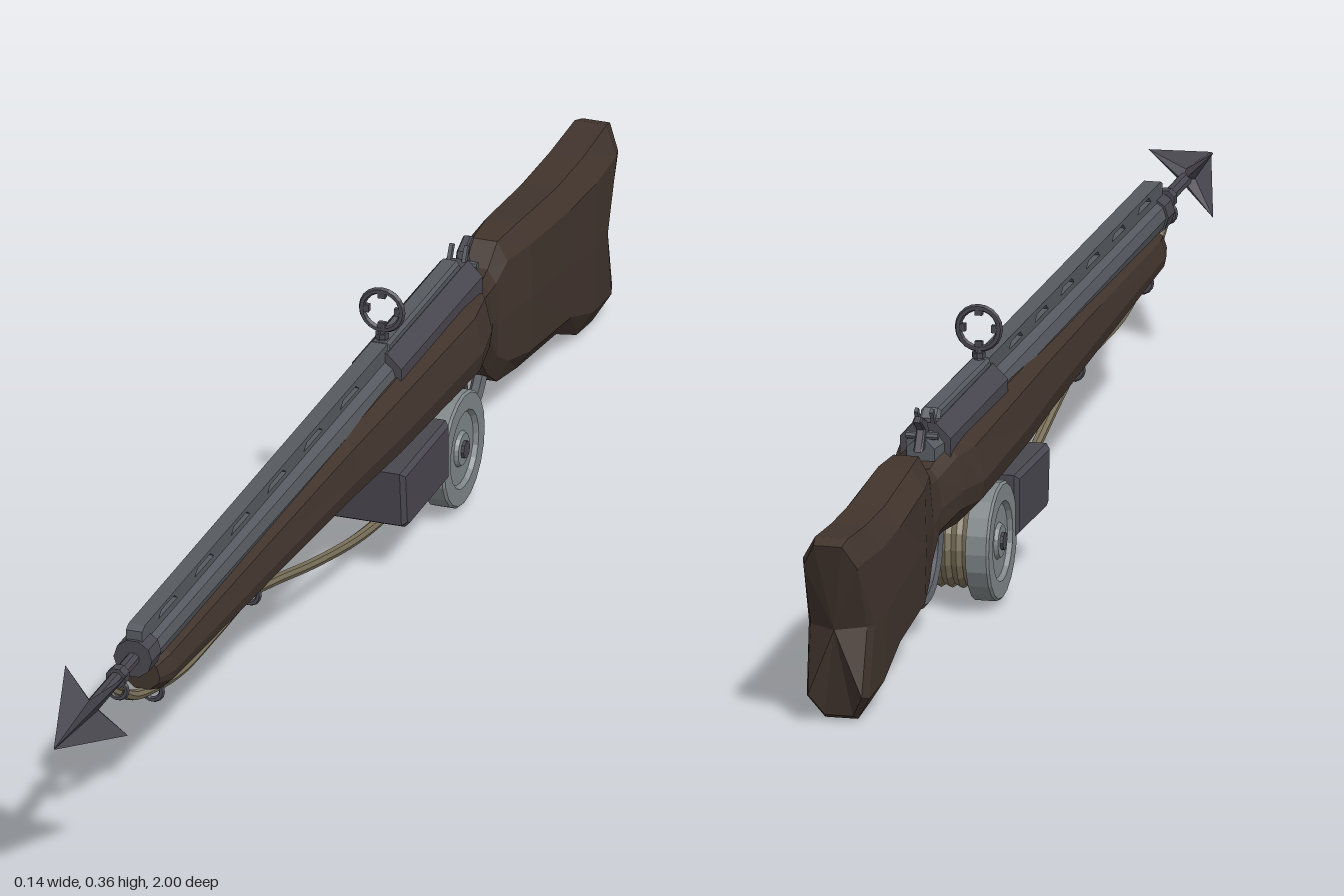
import * as THREE from 'three';

const V = (x, y, z) => new THREE.Vector3(x, y, z);
const mat = (color) => new THREE.MeshStandardMaterial({ color, flatShading: true, side: THREE.DoubleSide });
const WOOD = mat(0x41342d), DARK = mat(0x49474f), STEEL = mat(0x565a60), PALE = mat(0x7f8688), ROPE = mat(0x7a705a);

// Skin over equal-length rings running from +z to -z, each anticlockwise seen from +z
function loft(rings) {
  const n = rings[0].length, last = rings.length - 1, pos = [], idx = [];
  rings.flat().forEach((p) => pos.push(p.x, p.y, p.z));
  for (let i = 0; i < last; i++) for (let j = 0; j < n; j++) {
    const a = i * n + j, b = i * n + (j + 1) % n, c = a + n, d = b + n;
    idx.push(a, c, b, b, c, d);
  }
  [0, last].forEach((r) => {
    const mid = rings[r].reduce((s, p) => s.add(p), V(0, 0, 0)).divideScalar(n);
    const m = pos.length / 3;
    pos.push(mid.x, mid.y, mid.z);
    for (let j = 0; j < n; j++) {
      const a = r * n + j, b = r * n + (j + 1) % n;
      idx.push(m, r ? b : a, r ? a : b);
    }
  });
  const g = new THREE.BufferGeometry();
  g.setAttribute('position', new THREE.Float32BufferAttribute(pos, 3));
  g.setIndex(idx);
  g.computeVertexNormals();
  return g;
}

// Side outline in (z, y), extruded across x and centred on x = 0
function sidePlate(points, width, bevel = 0, holes = []) {
  const path = (pts) => pts.map(([z, y]) => new THREE.Vector2(-z, y));
  const shape = new THREE.Shape(path(points));
  holes.forEach((h) => shape.holes.push(new THREE.Path(path(h))));
  const depth = width - 2 * bevel;
  return new THREE.ExtrudeGeometry(shape, {
    depth, bevelEnabled: bevel > 0, bevelSize: bevel, bevelOffset: -bevel, bevelThickness: bevel, bevelSegments: 1,
  }).translate(0, 0, -depth / 2).rotateY(Math.PI / 2);
}

const tube = (pts, r, seg = 24, sides = 7) =>
  new THREE.TubeGeometry(new THREE.CatmullRomCurve3(pts), seg, r, sides);
const rodZ = (r1, r2, z1, z2, sides = 8) =>
  new THREE.CylinderGeometry(r1, r2, z1 - z2, sides).rotateY(Math.PI / sides).rotateX(Math.PI / 2).translate(0, 0, (z1 + z2) / 2);

// Half sections as [width fraction, height fraction], bottom to top
const FORE = [[0.4, 0], [0.92, 0.28], [1, 0.5], [0.8, 0.88], [0.5, 1]];
const BUTT = [[0.5, 0], [0.95, 0.13], [1, 0.5], [0.95, 0.87], [0.5, 1]];
const BACK = [0.0, 0.022, 0.0, 0.045, 0.06];

// One stock ring; blend goes from fore-end to butt section, rake bends it to the hollow butt
function stockRing([z, top, bottom, half, blend = 0, rake = 0]) {
  const right = FORE.map(([fx, fy], i) => {
    const x = THREE.MathUtils.lerp(fx, BUTT[i][0], blend) * half;
    const t = THREE.MathUtils.lerp(fy, BUTT[i][1], blend);
    return V(x, bottom + (top - bottom) * t, z - BACK[i] * rake);
  });
  return [...right, ...right.slice().reverse().map((p) => V(-p.x, p.y, p.z))];
}

export function createModel() {
  const root = new THREE.Group();
  const add = (name, geometry, material, parent = root) => {
    const mesh = new THREE.Mesh(geometry, material);
    mesh.name = name;
    parent.add(mesh);
    return mesh;
  };
  const group = (name, x = 0, y = 0, z = 0) => {
    const g = new THREE.Group();
    g.name = name;
    g.position.set(x, y, z);
    root.add(g);
    return g;
  };

  // Wooden stock from fore-end to butt
  add('stock', loft([
    [0.675, 0.224, 0.186, 0.024], [0.64, 0.23, 0.174, 0.032], [0.3, 0.238, 0.158, 0.04],
    [0, 0.244, 0.144, 0.048], [-0.14, 0.248, 0.137, 0.055], [-0.42, 0.248, 0.13, 0.061],
    [-0.48, 0.248, 0.134, 0.05], [-0.53, 0.23, 0.125, 0.032, 0.3], [-0.56, 0.236, 0.088, 0.029, 0.6],
    [-0.59, 0.262, 0.066, 0.033, 0.8], [-0.65, 0.262, 0.06, 0.042, 1], [-0.79, 0.25, 0.046, 0.045, 1],
    [-0.865, 0.25, 0.012, 0.045, 1, 0.4], [-0.925, 0.256, 0.005, 0.043, 1, 0.9], [-0.94, 0.25, 0.012, 0.037, 1, 1],
  ].map(stockRing)), WOOD);

  // Barrel, receiver and ventilated rib
  const barrel = group('barrelAssembly');
  add('barrel', rodZ(0.023, 0.027, 0.705, -0.2, 10).translate(0, 0.243, 0), STEEL, barrel);
  add('muzzleRing', rodZ(0.026, 0.026, 0.71, 0.675, 10).translate(0, 0.243, 0), DARK, barrel);
  add('receiver', rodZ(0.036, 0.036, -0.19, -0.49).translate(0, 0.246, 0), DARK, barrel);
  add('receiverCap', rodZ(0.03, 0.02, -0.48, -0.515).translate(0, 0.244, 0), STEEL, barrel);
  const slots = [];
  for (let z = 0.645; z > -0.15; z -= 0.134) {
    slots.push([[z, 0.272], [z - 0.012, 0.28], [z - 0.058, 0.28], [z - 0.07, 0.272]]);
  }
  add('rib', sidePlate([[0.705, 0.255], [0.705, 0.28], [0.695, 0.285], [-0.2, 0.288], [-0.2, 0.255]], 0.022, 0, slots), STEEL, barrel);
  add('receiverRib', sidePlate([[-0.19, 0.26], [-0.2, 0.289], [-0.46, 0.291], [-0.485, 0.26]], 0.026, 0.004), STEEL, barrel);

  // Ring sight with four pointers
  const sight = group('ringSight', 0, 0.33, -0.21);
  add('sightRing', new THREE.TorusGeometry(0.027, 0.0045, 6, 20), DARK, sight);
  for (let i = 0; i < 4; i++) {
    add('sightPointer', new THREE.BoxGeometry(0.01, 0.008, 0.007).translate(0, 0.021, 0), DARK, sight).rotation.z = i * Math.PI / 2;
  }
  add('sightPost', new THREE.CylinderGeometry(0.005, 0.009, 0.024, 8).translate(0, -0.04, 0), DARK, sight);
  add('sightCollar', new THREE.CylinderGeometry(0.009, 0.009, 0.007, 8).translate(0, -0.035, 0), DARK, sight);

  // Hammer and small rear sight
  const lock = group('lock');
  add('hammer', sidePlate([[-0.485, 0.25], [-0.5, 0.285], [-0.525, 0.296], [-0.536, 0.291], [-0.515, 0.276], [-0.53, 0.25]], 0.012, 0.002), DARK, lock);
  add('hammerPin', new THREE.CylinderGeometry(0.005, 0.005, 0.042, 8).rotateZ(Math.PI / 2).translate(0, 0.266, -0.505), STEEL, lock);
  for (const s of [-1, 1]) {
    add('rearSightLeaf', new THREE.BoxGeometry(0.005, 0.024, 0.008).rotateX(-0.5).translate(s * 0.01, 0.286, -0.49), STEEL, lock);
  }

  // Trigger and guard
  add('triggerGuard', tube([
    V(0, 0.137, -0.43), V(0, 0.09, -0.44), V(0, 0.058, -0.47), V(0, 0.048, -0.51), V(0, 0.058, -0.55), V(0, 0.085, -0.575),
  ], 0.007, 20, 6).scale(1.4, 1, 1), STEEL);
  add('trigger', tube([V(0, 0.14, -0.495), V(0, 0.108, -0.502), V(0, 0.085, -0.515), V(0, 0.072, -0.504)], 0.005, 10, 6), DARK);

  // Box housing ahead of the reel
  add('reelHousing', sidePlate([[-0.105, 0.155], [-0.112, 0.08], [-0.125, 0.073], [-0.275, 0.075], [-0.275, 0.157]], 0.136, 0.006), DARK);

  // Reel: two dished flanges, axle and line coils
  const reel = group('reel', 0, 0.088, -0.34);
  const flange = [[0, 0.034], [0.077, 0.034], [0.077, 0.061], [0.074, 0.064], [0.052, 0.064], [0.048, 0.058], [0.024, 0.058], [0.021, 0.063], [0, 0.063]]
    .map(([r, h]) => new THREE.Vector2(r, h));
  for (const s of [-1, 1]) {
    add('reelFlange', new THREE.LatheGeometry(flange, 20).rotateZ(-s * Math.PI / 2), PALE, reel);
    add('axleCap', new THREE.CylinderGeometry(0.012, 0.012, 0.006, 8).rotateZ(Math.PI / 2).translate(s * 0.064, 0, 0), DARK, reel);
  }
  add('reelCore', new THREE.CylinderGeometry(0.054, 0.054, 0.07, 16).rotateZ(Math.PI / 2), ROPE, reel);
  for (let i = -2; i <= 2; i++) {
    add('lineCoil', new THREE.TorusGeometry(0.055, 0.0085, 6, 18).rotateY(Math.PI / 2 + 0.06).translate(i * 0.0145, 0, 0), ROPE, reel);
  }

  // Line from the reel to the harpoon, with its guide rings
  add('line', tube([
    V(0, 0.034, -0.34), V(0, 0.036, -0.24), V(0, 0.05, -0.12), V(0, 0.085, 0.04), V(0, 0.128, 0.2), V(0, 0.146, 0.28),
    V(0, 0.147, 0.4), V(0, 0.15, 0.53), V(0, 0.17, 0.635), V(0, 0.192, 0.71), V(0, 0.223, 0.765),
  ], 0.007, 48), ROPE);
  for (const [y, z] of [[0.147, 0.28], [0.168, 0.637]]) {
    add('guideRing', new THREE.TorusGeometry(0.013, 0.004, 6, 14).translate(0, y, z), DARK);
  }

  // Harpoon: shaft, line eye and four-bladed barbed head
  const harpoon = group('harpoon', 0, 0.243, 0);
  add('shaft', rodZ(0.009, 0.009, 0.9, 0.6), DARK, harpoon);
  add('shaftCollar', rodZ(0.014, 0.014, 0.773, 0.757), DARK, harpoon);
  add('lineEye', new THREE.TorusGeometry(0.012, 0.004, 6, 14).translate(0, -0.018, 0.765), DARK, harpoon);
  const star = (scale, zBarb, zInner) => Array.from({ length: 8 }, (_, i) => {
    const a = i * Math.PI / 4, barb = i % 2 === 1, r = (barb ? 0.06 : 0.012) * scale;
    return V(r * Math.cos(a), r * Math.sin(a), barb ? zBarb : zInner);
  });
  add('harpoonHead', loft([star(0.01, 1, 1), star(1, 0.843, 0.87)]), DARK, harpoon);

  return root;
}
